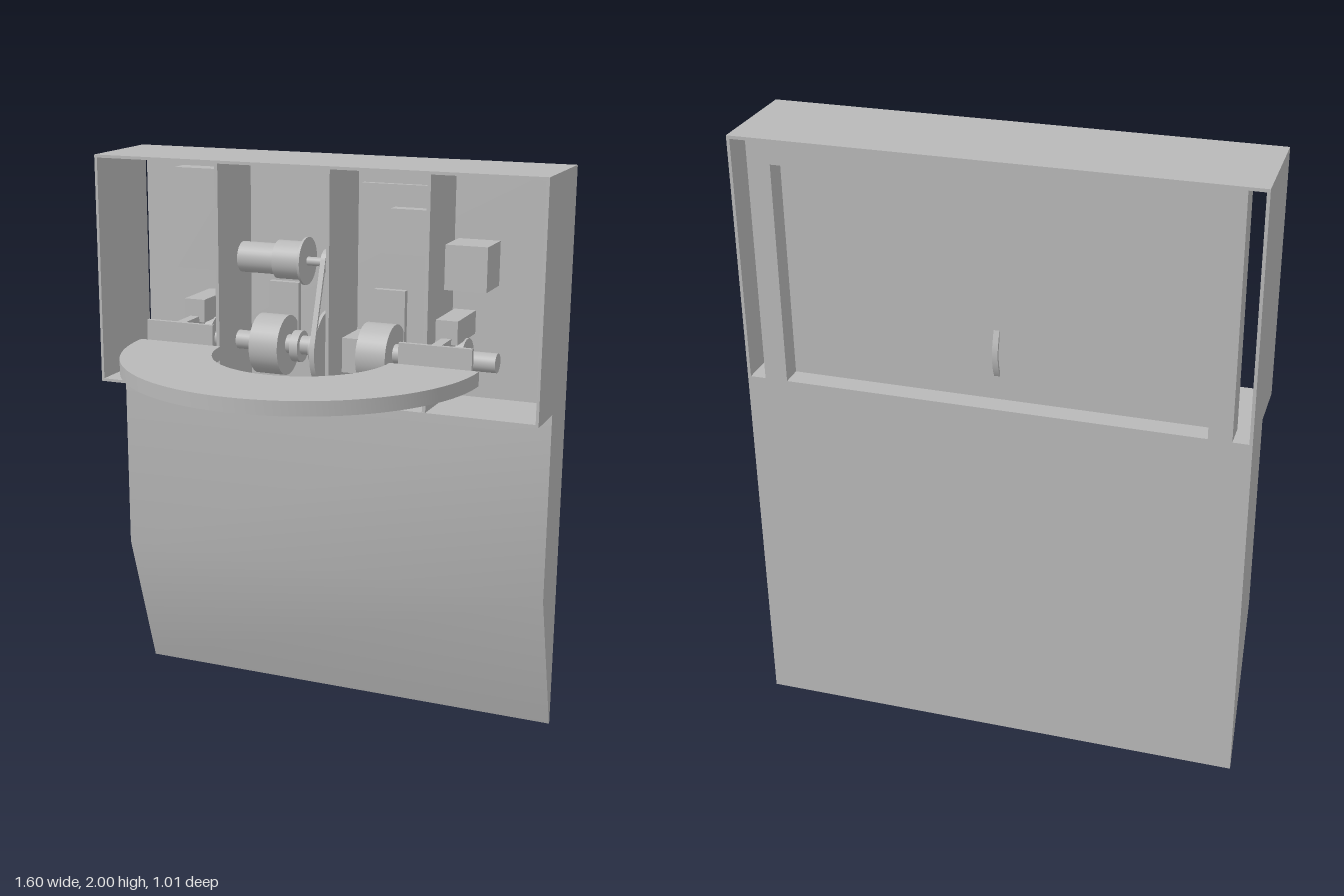
import * as THREE from 'three';
import { toCreasedNormals } from 'three/addons/utils/BufferGeometryUtils.js';

export function createModel() {
  const model = new THREE.Group();
  const grey = new THREE.MeshStandardMaterial({ color: 0xb8b8b8 });
  grey.name = 'plain grey';

  const add = (name, geometry, parent = model) => {
    const mesh = new THREE.Mesh(geometry, grey);
    mesh.name = name;
    parent.add(mesh);
    return mesh;
  };
  const group = (name) => {
    const g = new THREE.Group();
    g.name = name;
    model.add(g);
    return g;
  };
  // Box given by its limits on each axis
  const box = (name, x0, x1, y0, y1, z0, z1, parent) => {
    const g = new THREE.BoxGeometry(x1 - x0, y1 - y0, z1 - z0);
    g.translate((x0 + x1) / 2, (y0 + y1) / 2, (z0 + z1) / 2);
    return add(name, g, parent);
  };
  // Cylinder lying along x
  const rod = (name, x0, x1, r, y, z, parent) => {
    const g = new THREE.CylinderGeometry(r, r, x1 - x0, 32);
    g.rotateZ(Math.PI / 2).translate((x0 + x1) / 2, y, z);
    return add(name, g, parent);
  };
  // Side profile in (z, y), extruded along x and centred on cx
  const sideExtrude = (name, shape, width, cx, parent) => {
    const g = new THREE.ExtrudeGeometry(shape, { depth: width, bevelEnabled: false, curveSegments: 24 });
    g.rotateY(-Math.PI / 2).translate(cx + width / 2, 0, 0);
    return add(name, toCreasedNormals(g, 0.5), parent);
  };

  const back = -0.51, front = -0.155, panelFront = -0.425, panelBack = -0.44;

  // Lower body, tapering to an edge at the foot
  const lower = new THREE.Shape([
    [back, 0], [-0.505, 0], [-0.33, 0.535], [-0.33, 1.2], [back, 1.2],
  ].map(([z, y]) => new THREE.Vector2(z, y)));
  sideExtrude('lowerBody', lower, 1.6, 0);

  // Upper housing, open at the front
  const housing = group('upperHousing');
  box('housingTop', -0.8, 0.8, 1.99, 2, back, front, housing);
  box('housingFloor', -0.8, 0.8, 1.2, 1.21, back, front, housing);
  for (const s of [-1, 1]) {
    const x = s * 0.795;
    box('housingSide', x - 0.005, x + 0.005, 1.21, 1.99, back, front, housing);
    const fx = s * 0.7035;
    box('backFrameSide', fx - 0.0365, fx + 0.0365, 1.21, 1.99, back, panelBack, housing);
  }
  box('backFrameTop', -0.667, 0.667, 1.923, 1.99, back, panelBack, housing);
  box('backPanel', -0.74, 0.74, 1.21, 1.99, panelBack, panelFront, housing);
  for (const x of [-0.339, 0.065, 0.41])
    box('partition', x - 0.006, x + 0.006, 1.21, 1.99, panelFront, front - 0.002, housing);

  // Boxes mounted on the back panel
  const fittings = group('panelFittings');
  box('leftCabinet', -0.595, -0.36, 1.59, 1.945, panelFront, -0.36, fittings);
  box('controlBoard', 0.09, 0.385, 1.685, 1.92, panelFront, -0.405, fittings);
  box('controlUnit', 0.21, 0.365, 1.76, 1.845, -0.405, -0.36, fittings);
  box('powerBox', 0.43, 0.575, 1.6, 1.75, panelFront, -0.28, fittings);

  // Drive shaft with drums, collars and bearings
  const sy = 1.36, sz = -0.32;
  const drive = group('driveShaft');
  rod('shaft', -0.61, 0.61, 0.033, sy, sz, drive);
  for (const s of [-1, 1]) {
    const cx = s * 0.197;
    rod('drum', cx - 0.053, cx + 0.053, 0.105, sy - 0.005, sz, drive);
    box('drumMount', cx - 0.056, cx + 0.056, 1.3, 1.56, panelFront, -0.4, drive);
    const hx = s * 0.46;
    rod('hub', hx - 0.045, hx + 0.045, 0.075, sy, sz, drive);
    box('bearingBlock', hx - 0.038, hx + 0.038, 1.43, 1.51, panelFront, -0.225, drive);
  }
  rod('collar', -0.12, -0.09, 0.055, sy - 0.005, sz, drive);
  rod('collar', -0.05, -0.008, 0.055, sy - 0.005, sz, drive);
  box('shaftSupport', 0.075, 0.13, 1.29, 1.41, panelFront, -0.27, drive);

  // Motor above the shaft
  const my = 1.655;
  const motor = group('motor');
  rod('motorBody', -0.315, -0.18, 0.053, my, sz, motor);
  rod('gearbox', -0.18, -0.08, 0.066, my, sz, motor);
  rod('motorFlange', -0.08, -0.072, 0.082, my, sz, motor);
  rod('motorAxle', -0.072, 0.008, 0.015, my, sz, motor);

  // Belt round the large and small pulleys
  const R = 0.14, r = 0.045, t = 0.01;
  const a = Math.asin((R - r) / (my - sy));
  const loop = (path, inset) => {
    path.absarc(sz, my, r - inset, a, Math.PI - a, false);
    path.absarc(sz, sy, R - inset, Math.PI - a, 2 * Math.PI + a, false);
    path.closePath();
    return path;
  };
  const beltShape = loop(new THREE.Shape(), 0);
  beltShape.holes.push(loop(new THREE.Path(), t));
  sideExtrude('belt', beltShape, 0.018, 0, drive);
  rod('largePulley', -0.006, 0.006, R - t, sy, sz, drive);
  rod('smallPulley', -0.006, 0.006, r - t, my, sz, drive);

  // Half-ring table
  const table = group('table');
  const ring = new THREE.Shape();
  ring.absarc(0, 0, 0.61, 0, Math.PI, false);
  ring.absarc(0, 0, 0.305, Math.PI, 0, true);
  ring.closePath();
  const top = new THREE.ExtrudeGeometry(ring, { depth: 0.048, bevelEnabled: false, curveSegments: 48 });
  top.rotateX(Math.PI / 2).translate(0, 1.38, -0.107);
  add('tableTop', toCreasedNormals(top, 0.5), table);

  // Brackets joining the table to the shaft
  for (const s of [-1, 1]) {
    const px = s * 0.46;
    box('bracketPlate', px - 0.125, px + 0.125, 1.33, 1.45, -0.123, -0.107, table);
    box('bracketArm', px - 0.017, px + 0.017, 1.33, 1.45, sz, -0.123, table);
  }

  return model;
}
